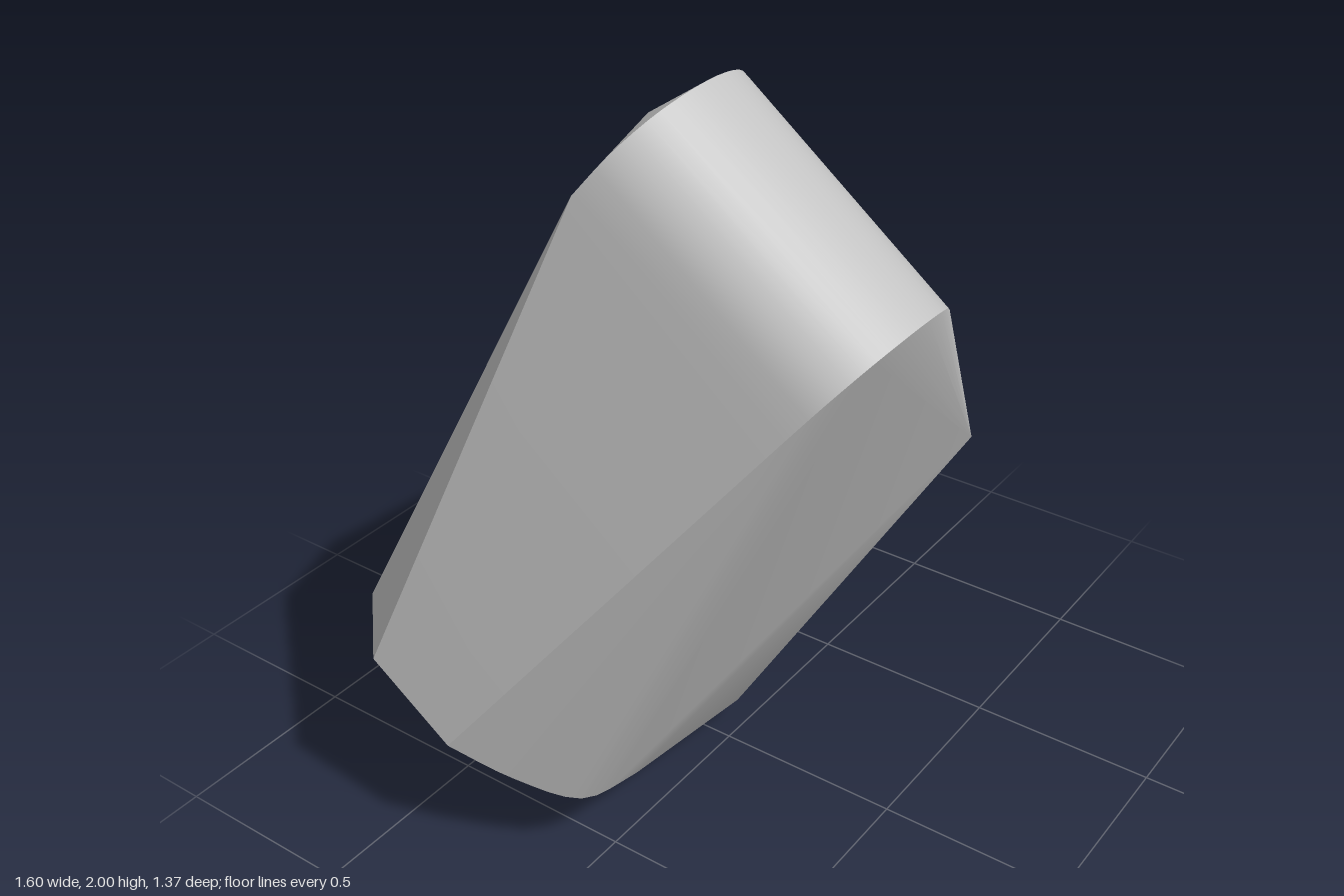
import * as THREE from 'three';
import { ConvexGeometry } from 'three/addons/geometries/ConvexGeometry.js';
import { toCreasedNormals } from 'three/addons/utils/BufferGeometryUtils.js';

// Samples a smooth curve through a few points
function smooth(list, count) {
  return new THREE.CatmullRomCurve3(list.map((p) => new THREE.Vector3(...p))).getPoints(count);
}

export function createModel() {
  const group = new THREE.Group();
  group.name = 'rock';
  const stone = new THREE.MeshStandardMaterial({ color: 0xc2c2c2 });
  stone.name = 'grey stone';

  const points = [];
  const add = (...list) => list.forEach((p) => points.push(new THREE.Vector3(...p)));

  // Rounded crown: the same arc on the back rim and the front rim (two slanted planes)
  const crown = [[-0.56, 1.8, 0], [-0.527, 1.89, 0], [-0.46, 1.955, 0], [-0.37, 1.99, 0],
    [-0.27, 2.0, 0], [-0.17, 1.98, 0], [-0.08, 1.93, 0]];
  for (const { x, y } of smooth(crown, 18)) {
    add([x, y, 0.16 + (y - 2) * 0.778]);
    add([x, y - 0.405, 0.68 + (y - 2) * 0.787]);
  }

  // Right shoulder of both rims
  add([0.4, 1.6, -0.16], [0.49, 1.53, -0.21], [0.56, 1.46, -0.26]);
  const shoulder = [[0.43, 1.17, 0], [0.53, 1.07, 0], [0.6, 0.96, 0], [0.645, 0.84, 0]];
  for (const { x, y } of smooth(shoulder, 8)) add([x, y, 0.68 + (y - 1.59) * 0.787]);

  // Lower side corners
  add([-0.8, 0.56, -0.48], [-0.8, 0.4, -0.256]);
  add([0.8, 0.37, -0.53], [0.8, 0.22, -0.38]);
  add([0.57, 0.16, -0.677], [0.57, 0.04, -0.53]);

  // Front peaks and foot
  add([0.32, 0.97, 0.5], [0.5, 0.49, 0.12], [0.04, 0.1, 0], [0.04, 0, -0.09]);

  // Lower left: front corner and the rounded underside behind it
  points.push(...smooth([[-0.8, 0.4, -0.256], [-0.72, 0.305, -0.13], [-0.605, 0.215, -0.015],
    [-0.4, 0.155, -0.005]], 12));
  points.push(...smooth([[-0.8, 0.4, -0.256], [-0.7, 0.285, -0.25], [-0.6, 0.215, -0.27],
    [-0.5, 0.17, -0.38], [-0.4, 0.15, -0.46], [-0.3, 0.11, -0.44]], 14));

  // Back ridge, back corner and crown bevel
  add([-0.12, 1.03, -0.6], [-0.55, 0.57, -0.685], [-0.61, 0.56, -0.67]);
  add([-0.27, 1.88, -0.02], [-0.3, 1.76, -0.11]);

  const body = new THREE.Mesh(toCreasedNormals(new ConvexGeometry(points), 0.27), stone);
  body.name = 'rockBody';
  group.add(body);
  return group;
}
